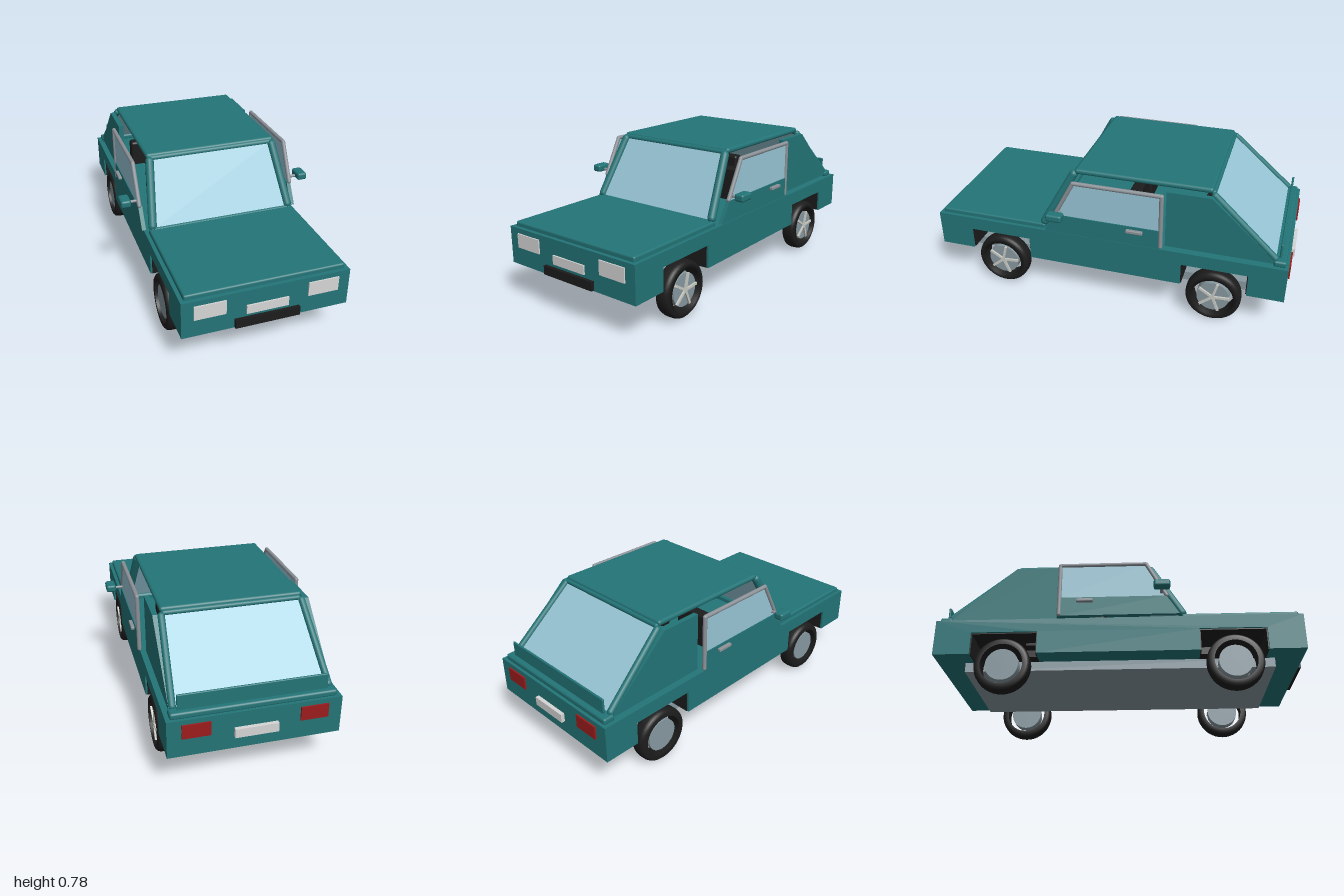
import * as THREE from 'three';
import { RoundedBoxGeometry } from 'three/addons/geometries/RoundedBoxGeometry.js';

const mat = (name, color, side = THREE.FrontSide) => {
  const m = new THREE.MeshStandardMaterial({ color, side });
  m.name = name;
  return m;
};

export function createModel() {
  const car = new THREE.Group();
  car.name = 'car';
  const teal = mat('teal paint', 0x237477);
  const glass = mat('window glass', 0x98c6d6, THREE.DoubleSide);
  const black = mat('black rubber', 0x1c1c1c);
  const steel = mat('blue grey steel', 0x8799a1);
  const chrome = mat('trim grey', 0x8c9298);
  const lamp = mat('lamp white', 0xd6d6d6);
  const spokeMat = mat('spoke silver', 0xcacac4);
  const red = mat('tail red', 0x9c1c1c);

  const add = (name, geo, material, parent = car) => {
    const m = new THREE.Mesh(geo, material);
    m.name = name;
    parent.add(m);
    return m;
  };
  // Box given by its limits on each axis; r rounds the edges
  const box = (name, material, [x0, x1], [y0, y1], [z0, z1], r = 0) => {
    const d = [x1 - x0, y1 - y0, z1 - z0];
    const geo = r ? new RoundedBoxGeometry(...d, 3, r) : new THREE.BoxGeometry(...d);
    const m = add(name, geo, material);
    m.position.set((x0 + x1) / 2, (y0 + y1) / 2, (z0 + z1) / 2);
    return m;
  };
  // Side outline in [z, y], extruded from x0 to x1
  const sidePlate = (name, material, pts, x0, x1) => {
    const shape = new THREE.Shape(pts.map(([z, y]) => new THREE.Vector2(-z, y)));
    const geo = new THREE.ExtrudeGeometry(shape, { depth: x1 - x0, bevelEnabled: false });
    geo.rotateY(Math.PI / 2).translate(x0, 0, 0);
    return add(name, geo, material);
  };
  // Round bar between two points
  const bar = (name, material, a, b, r) => {
    const p = new THREE.Vector3(...a), q = new THREE.Vector3(...b);
    const m = add(name, new THREE.CapsuleGeometry(r, p.distanceTo(q), 5, 14), material);
    m.position.copy(p).add(q).multiplyScalar(0.5);
    m.quaternion.setFromUnitVectors(new THREE.Vector3(0, 1, 0), q.sub(p).normalize());
    return m;
  };
  // Sloping window, symmetric in x, from a bottom edge to a top edge
  const pane = (name, [xb, yb, zb], [xt, yt, zt]) => {
    const f = zb > 0 ? 1 : -1;
    const geo = new THREE.BufferGeometry();
    geo.setAttribute('position', new THREE.Float32BufferAttribute(
      [-f * xb, yb, zb, f * xb, yb, zb, f * xt, yt, zt, -f * xt, yt, zt], 3));
    geo.setIndex([0, 1, 2, 0, 2, 3]);
    geo.computeVertexNormals();
    add(name, geo, glass);
  };

  // Lower body with wheel openings
  sidePlate('body', teal, [
    [0.98, 0.21], [0.98, 0.41], [-0.98, 0.41], [-0.98, 0.21],
    [-0.785, 0.21], [-0.785, 0.335], [-0.43, 0.335], [-0.43, 0.21],
    [0.43, 0.21], [0.43, 0.335], [0.785, 0.335], [0.785, 0.21],
  ], -0.43, 0.43);
  box('chassis', steel, [-0.315, 0.315], [0.157, 0.209], [-0.83, 0.83]);
  for (const f of [1, -1]) {
    const z = f * 0.6075;
    box('wheelWellTop', black, [-0.42, 0.42], [0.329, 0.336], [z - 0.177, z + 0.177]);
    for (const e of [-1, 1]) {
      const w = z + e * 0.175;
      box('wheelWellWall', black, [-0.42, 0.42], [0.212, 0.335], [w - 0.003, w + 0.003]);
    }
    const c = f * 0.467;
    box('axleBracket', black, [-0.3, 0.3], [0.245, 0.285], [c - 0.037, c + 0.037]);
  }
  box('rearBracket', black, [-0.3, 0.3], [0.315, 0.335], [-0.51, -0.43]);

  // Hood, cowl, roof and tail
  box('hood', teal, [-0.41, 0.41], [0.4, 0.436], [0.34, 0.96], 0.01);
  bar('cowl', teal, [-0.39, 0.427, 0.355], [0.39, 0.427, 0.355], 0.014);
  box('roof', teal, [-0.365, 0.365], [0.75, 0.78], [-0.565, 0.17], 0.014);
  bar('frontHeader', teal, [-0.345, 0.755, 0.165], [0.345, 0.755, 0.165], 0.016);
  bar('rearHeader', teal, [-0.345, 0.752, -0.565], [0.345, 0.752, -0.565], 0.014);
  box('tailDeck', teal, [-0.41, 0.41], [0.405, 0.44], [-0.965, -0.9], 0.012);
  box('tailPanel', teal, [-0.37, 0.37], [0.43, 0.52], [-0.937, -0.925], 0.005);
  pane('windshield', [0.385, 0.435, 0.357], [0.345, 0.757, 0.175]);
  pane('rearWindow', [0.385, 0.435, -0.915], [0.355, 0.752, -0.567]);

  for (const s of [1, -1]) {
    const span = (a, b) => (s > 0 ? [a, b] : [-b, -a]);

    // Pillars and rear quarter panel
    bar('windshieldPillar', teal, [s * 0.388, 0.448, 0.345], [s * 0.35, 0.745, 0.18], 0.023);
    bar('rearPillar', teal, [s * 0.385, 0.445, -0.905], [s * 0.36, 0.742, -0.575], 0.018);
    sidePlate('quarterPanel', teal,
      [[-0.335, 0.42], [-0.335, 0.745], [-0.565, 0.745], [-0.91, 0.43], [-0.91, 0.42]],
      ...span(0.375, 0.402));

    // Door with framed window
    sidePlate('door', teal, [[0.33, 0.42], [0.262, 0.53], [-0.31, 0.53], [-0.31, 0.42]],
      ...span(0.42, 0.442));
    sidePlate('sideWindow', glass, [[0.262, 0.53], [0.155, 0.735], [-0.315, 0.735], [-0.315, 0.53]],
      ...span(0.431, 0.437));
    const rail = [[0.262, 0.535], [0.155, 0.735], [-0.318, 0.735], [-0.318, 0.432]];
    for (let i = 0; i < 3; i++) {
      const [a, b] = [rail[i], rail[i + 1]];
      bar('windowFrame', chrome, [s * 0.435, a[1], a[0]], [s * 0.435, b[1], b[0]], 0.0115);
    }
    box('doorHandle', chrome, span(0.44, 0.461), [0.497, 0.515], [-0.225, -0.135], 0.004);

    // Side mirror
    bar('mirrorStem', chrome, [s * 0.435, 0.552, 0.235], [s * 0.49, 0.552, 0.235], 0.008);
    box('mirror', teal, span(0.48, 0.535), [0.54, 0.581], [0.193, 0.281], 0.012);

    // Lamps
    box('headlight', lamp, span(0.21, 0.37), [0.307, 0.383], [0.979, 0.987]);
    box('tailLight', red, span(0.22, 0.36), [0.312, 0.385], [-0.989, -0.979]);

    // Seats
    box('frontSeat', black, span(0.06, 0.3), [0.4, 0.6], [-0.145, -0.08], 0.015);
    box('rearSeat', black, span(0.02, 0.3), [0.4, 0.56], [-0.55, -0.485], 0.015);
  }

  // Bumper intake and blank plates
  box('lowerGrille', black, [-0.167, 0.167], [0.215, 0.262], [0.979, 0.998]);
  box('frontPlate', lamp, [-0.108, 0.108], [0.28, 0.328], [0.979, 0.988]);
  box('rearPlate', lamp, [-0.108, 0.108], [0.28, 0.328], [-1.0, -0.979]);

  // Wheels: open tyre ring, hub disc and five spokes
  const tyreProfile = [
    [0.112, -0.042], [0.135, -0.042], [0.146, -0.032], [0.15, -0.015],
    [0.15, 0.015], [0.146, 0.032], [0.135, 0.042], [0.112, 0.042], [0.112, -0.042],
  ].map(([r, y]) => new THREE.Vector2(r, y));
  const tyreGeo = new THREE.LatheGeometry(tyreProfile, 40).rotateZ(-Math.PI / 2);
  const hubGeo = new THREE.CylinderGeometry(0.088, 0.088, 0.06, 32).rotateZ(-Math.PI / 2);
  for (const x of [-0.387, 0.387]) for (const z of [-0.61, 0.61]) {
    const wheel = new THREE.Group();
    wheel.name = 'wheel';
    wheel.position.set(x, 0.153, z);
    add('tyre', tyreGeo, black, wheel);
    add('hub', hubGeo, steel, wheel);
    for (let i = 0; i < 5; i++) {
      const geo = new THREE.BoxGeometry(0.012, 0.09, 0.013);
      geo.translate(0.034, 0.045, 0).rotateX(i * Math.PI * 0.4 - 0.25);
      add('spoke', geo, spokeMat, wheel);
    }
    car.add(wheel);
  }
  return car;
}
